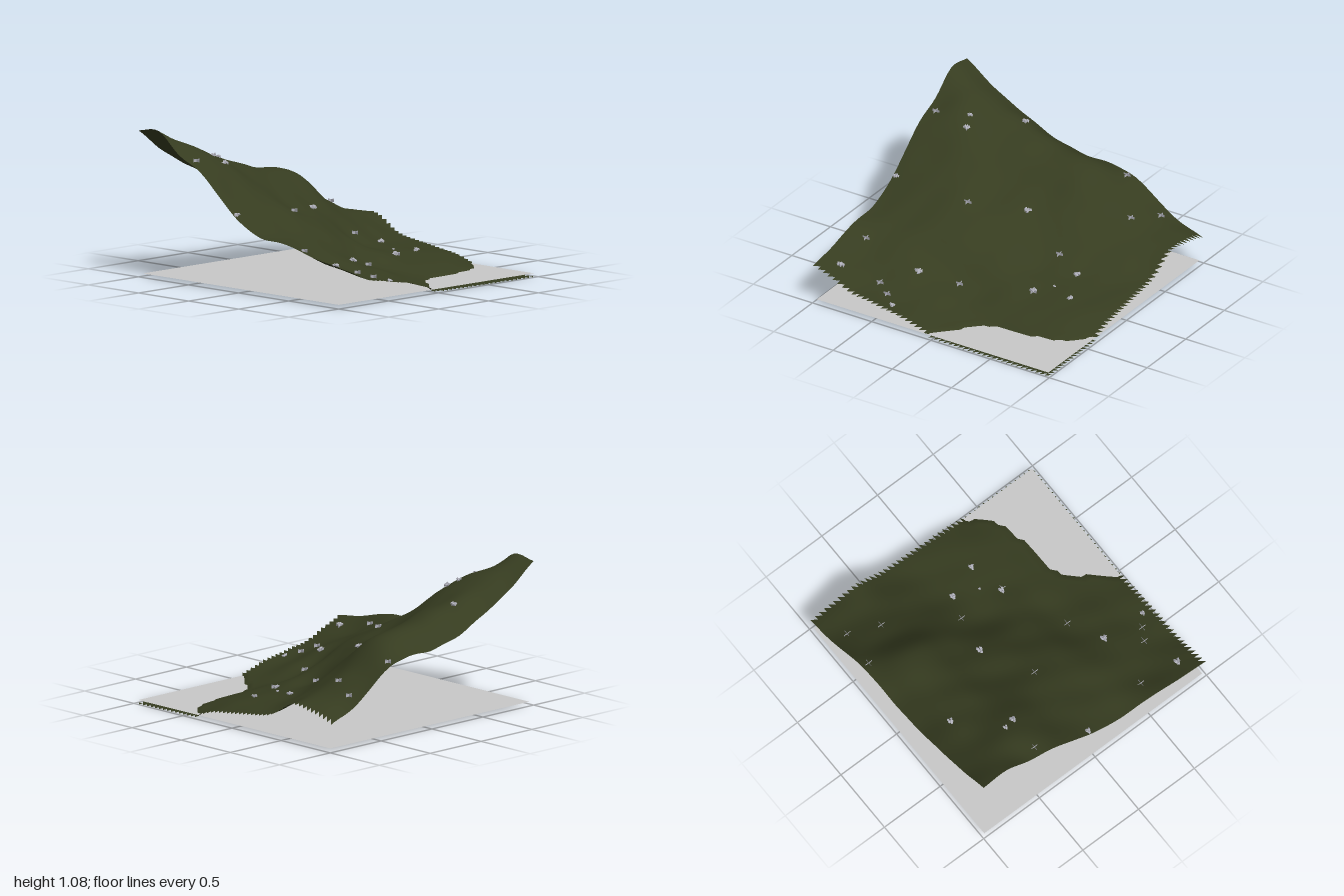
import * as THREE from 'three';

// Hill heights: rows run back to front (z -1..1), columns run x -1..1
const HEIGHTS = [
  [1.05, .88, .74, .63, .57, .57, .48, .30, .20],
  [1.065, .94, .84, .76, .69, .65, .45, .33, .25],
  [.93, .92, .80, .72, .66, .61, .42, .32, .28],
  [.83, .81, .72, .60, .54, .46, .32, .23, .17],
  [.67, .65, .60, .50, .43, .30, .22, .16, .13],
  [.51, .52, .50, .44, .33, .20, .16, .13, .10],
  [.43, .42, .41, .34, .24, .17, .13, .12, .075],
  [.41, .35, .31, .195, .125, .11, .09, .07, .02],
  [.37, .275, .235, .16, .085, .043, .035, .026, .012],
  [.32, .22, .145, .105, .048, .018, .012, .008, .004],
  [.30, .195, .14, .095, .024, .01, .006, .003, 0],
];

function cubic(list, t) {
  const n = list.length - 1;
  const i = Math.min(Math.floor(t), n - 1), f = t - i;
  const b = list[i], c = list[i + 1];
  const a = i > 0 ? list[i - 1] : 2 * b - c;
  const d = i + 2 <= n ? list[i + 2] : 2 * c - b;
  return b + 0.5 * f * (c - a + f * (2 * a - 5 * b + 4 * c - d + f * (3 * (b - c) + d - a)));
}

function heightAt(x, z) {
  const row = HEIGHTS.map(r => cubic(r, (x + 1) * 4));
  const h = cubic(row, (z + 1) * 5);
  // Low bank: the ground drops away at the shoreline
  if (h < 0.034) return Math.max(0, h * 0.4);
  const bumps = 0.007 * Math.sin(9 * x + 4 * z) * Math.sin(11 * z - 5 * x) + 0.003 * Math.sin(23 * x + 8 * z);
  return h + bumps * Math.min(1, (h - 0.03) * 8);
}

function makeRandom(seed) {
  return () => {
    seed = (seed * 16807) % 2147483647;
    return seed / 2147483647;
  };
}

// Grid surface whose last row and column keep half of each cell, leaving a toothed rim
function terrainGeometry() {
  const n = 49, min = -1, max = 0.995, positions = [], index = [];
  for (let j = 0; j <= n; j++) {
    for (let i = 0; i <= n; i++) {
      const x = min + (max - min) * i / n, z = min + (max - min) * j / n;
      positions.push(x, heightAt(x, z), z);
    }
  }
  for (let j = 0; j < n; j++) {
    for (let i = 0; i < n; i++) {
      const a = j * (n + 1) + i, b = a + 1, c = a + n + 1, d = c + 1;
      index.push(a, c, b);
      if (i < n - 1 && j < n - 1) index.push(b, c, d);
    }
  }
  const geometry = new THREE.BufferGeometry();
  geometry.setAttribute('position', new THREE.Float32BufferAttribute(positions, 3));
  geometry.setIndex(index);
  geometry.computeVertexNormals();
  return geometry;
}

export function createModel() {
  const model = new THREE.Group();
  model.name = 'hillside';
  const random = makeRandom(71);
  const grassGreen = new THREE.MeshStandardMaterial({ color: 0x363c20, side: THREE.DoubleSide });
  const waterGrey = new THREE.MeshStandardMaterial({ color: 0xc8c8c8, side: THREE.DoubleSide });
  const stoneGrey = new THREE.MeshStandardMaterial({ color: 0xb0b0ba, flatShading: true, side: THREE.DoubleSide });

  const terrain = new THREE.Mesh(terrainGeometry(), grassGreen);
  terrain.name = 'terrain';
  model.add(terrain);

  // Flat water sheet under the hill
  const water = new THREE.Mesh(new THREE.PlaneGeometry(1.955, 1.955), waterGrey);
  water.name = 'water';
  water.rotation.x = -Math.PI / 2;
  water.position.y = 0.025;
  model.add(water);

  // Clusters of small stones: x, z, size
  const stoneSpots = [
    [-.39, -.82, 1], [-.69, -.56, .8], [-.66, -.47, 1], [0, -.25, 1.1], [-.975, -.04, .9], [.52, -.09, 1],
    [.455, .1, .45], [.625, .16, .9], [.355, .22, 1], [-.4, .55, 1.1], [-.87, .84, 1.1], [-.39, .905, .8],
  ];
  const stone = new THREE.OctahedronGeometry(0.016);
  for (const [x, z, size] of stoneSpots) {
    const cluster = new THREE.Group();
    cluster.name = 'stoneCluster';
    for (let k = 0; k < 6; k++) {
      const piece = new THREE.Mesh(stone, stoneGrey);
      piece.name = 'stone';
      const angle = k * 2.4, r = 0.008 * Math.sqrt(k);
      piece.position.set(Math.cos(angle) * r, 0.006 + random() * 0.012, Math.sin(angle) * r);
      piece.rotation.set(random() * 0.8, random() * 3, random() * 0.8);
      piece.scale.set(1.1, 0.7, 0.8);
      cluster.add(piece);
    }
    cluster.scale.setScalar(size);
    cluster.position.set(x, heightAt(x, z), z);
    model.add(cluster);
  }

  // Crossed upright blades: x, z
  const tuftSpots = [
    [-.93, -.49], [-.38, -.06], [.33, -.16], [.6, -.67], [-.86, .52], [-.58, .77],
    [-.48, .83], [-.13, .43], [.36, .23], [.385, -.95], [.71, -.89],
  ];
  const blade = new THREE.PlaneGeometry(0.06, 0.02);
  for (const [x, z] of tuftSpots) {
    const tuft = new THREE.Group();
    tuft.name = 'tuft';
    for (const turn of [0, Math.PI / 2]) {
      const card = new THREE.Mesh(blade, stoneGrey);
      card.name = 'blade';
      card.rotation.y = turn;
      tuft.add(card);
    }
    tuft.position.set(x, heightAt(x, z) + 0.012, z);
    model.add(tuft);
  }
  return model;
}
